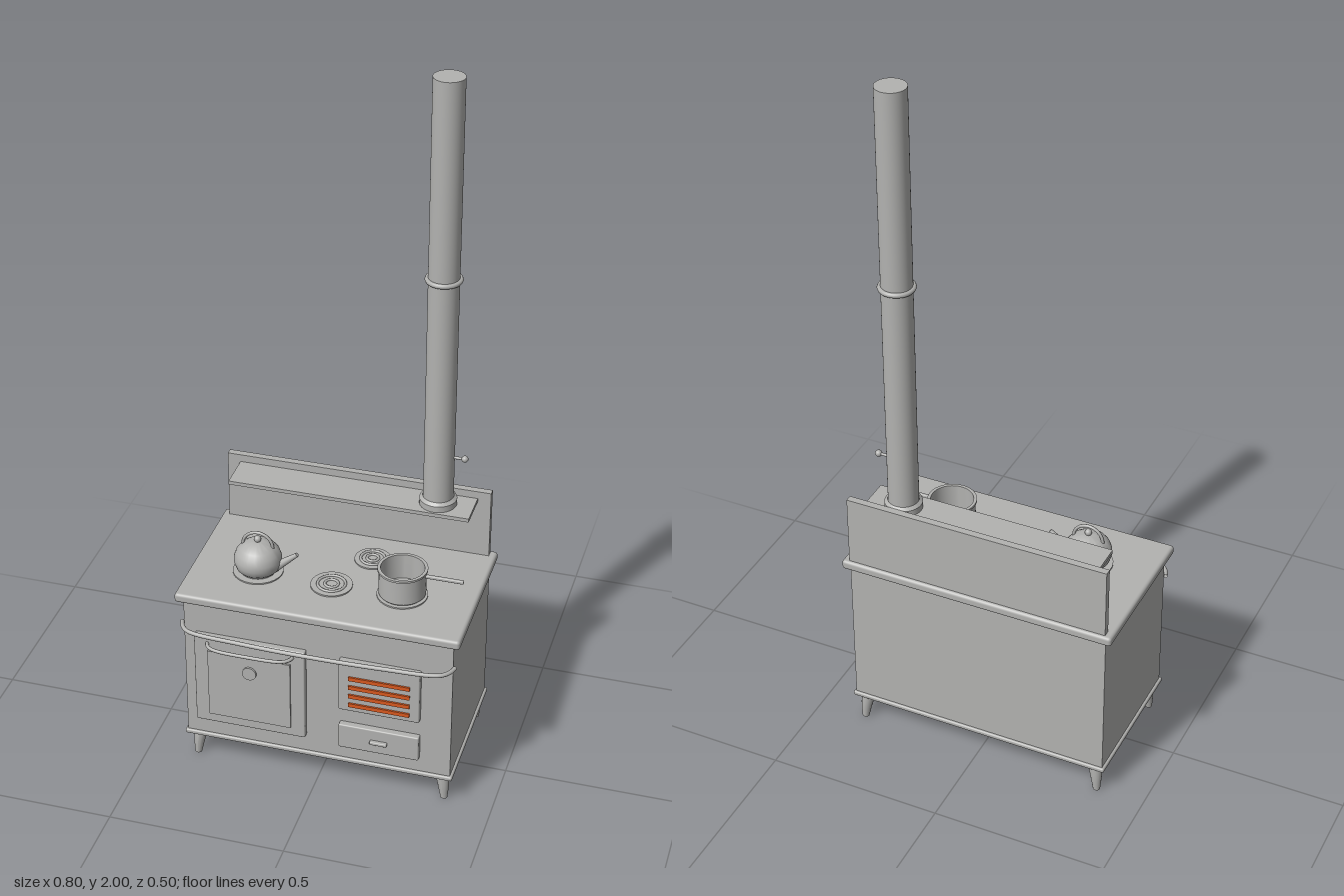
import * as THREE from 'three';
import { RoundedBoxGeometry } from 'three/addons/geometries/RoundedBoxGeometry.js';
import { toCreasedNormals } from 'three/addons/utils/BufferGeometryUtils.js';

const iron = new THREE.MeshStandardMaterial({ color: 0xb2b2b0, side: THREE.DoubleSide });
iron.name = 'castIron';
const ember = new THREE.MeshStandardMaterial({ color: 0xd9591f });
ember.name = 'emberOrange';

export function createModel() {
  const root = new THREE.Group();
  root.name = 'kitchenStove';

  const add = (name, geo, x = 0, y = 0, z = 0, mat = iron, parent = root) => {
    const mesh = new THREE.Mesh(geo, mat);
    mesh.name = name;
    mesh.position.set(x, y, z);
    parent.add(mesh);
    return mesh;
  };
  // Box given by its limits on each axis
  const box = (name, x0, x1, y0, y1, z0, z1, r = 0, mat = iron) => {
    const s = [x1 - x0, y1 - y0, z1 - z0];
    const geo = r ? new RoundedBoxGeometry(...s, 3, r) : new THREE.BoxGeometry(...s);
    return add(name, geo, (x0 + x1) / 2, (y0 + y1) / 2, (z0 + z1) / 2, mat);
  };
  const lathe = (pts, seg = 40) => toCreasedNormals(
    new THREE.LatheGeometry(pts.map(p => new THREE.Vector2(...p)), seg), 0.6);
  const tube = (pts, r, seg = 48) => new THREE.TubeGeometry(
    new THREE.CatmullRomCurve3(pts.map(p => new THREE.Vector3(...p)), false, 'centripetal'), seg, r, 10);
  const ring = (name, R, r, x, y, z) =>
    add(name, new THREE.TorusGeometry(R, r, 8, 40).rotateX(Math.PI / 2), x, y, z);

  // Cabinet
  box('body', -0.38, 0.38, 0.085, 0.545, -0.235, 0.18);
  box('baseTrim', -0.387, 0.387, 0.08, 0.094, -0.242, 0.187, 0.005);
  box('cooktop', -0.4, 0.4, 0.537, 0.565, -0.25, 0.2, 0.009);
  box('backPanel', -0.38, 0.38, 0.56, 0.77, -0.24, -0.22);
  box('warmingShelf', -0.343, 0.343, 0.737, 0.748, -0.22, -0.113);

  // Curved tapering legs
  for (const sx of [-1, 1]) for (const front of [true, false]) {
    const sz = front ? 1 : -1;
    const geo = new THREE.CylinderGeometry(0.022, 0.01, 0.085, 16, 10);
    const p = geo.attributes.position;
    for (let i = 0; i < p.count; i++) {
      const t = 0.5 - p.getY(i) / 0.085;
      const shift = 0.01 * t * t + 0.004 * Math.sin(Math.PI * t);
      p.setX(i, p.getX(i) + sx * shift);
      p.setZ(i, p.getZ(i) + sz * shift);
    }
    geo.computeVertexNormals();
    add('leg', geo, sx * 0.35, 0.0425, front ? 0.147 : -0.212);
  }

  // Bowed towel rail across the front
  add('frontRail', tube([[-0.385, 0.465, 0.18], [-0.376, 0.465, 0.203], [-0.352, 0.465, 0.224],
    [-0.2, 0.465, 0.238], [0, 0.465, 0.243], [0.2, 0.465, 0.238],
    [0.352, 0.465, 0.224], [0.376, 0.465, 0.203], [0.385, 0.465, 0.18]], 0.006, 80));

  // Oven door
  box('ovenDoor', -0.347, -0.03, 0.15, 0.44, 0.178, 0.199, 0.004);
  box('ovenDoorPanel', -0.307, -0.07, 0.18, 0.395, 0.195, 0.204);
  add('ovenGauge', new THREE.CylinderGeometry(0.02, 0.02, 0.008, 28).rotateX(Math.PI / 2), -0.186, 0.345, 0.206);
  add('ovenHandle', tube([[-0.31, 0.418, 0.192], [-0.303, 0.418, 0.212], [-0.283, 0.418, 0.225],
    [-0.186, 0.418, 0.231], [-0.09, 0.418, 0.225], [-0.07, 0.418, 0.212], [-0.062, 0.418, 0.192]], 0.005));

  // Firebox door with glowing slots
  box('fireDoor', 0.066, 0.294, 0.272, 0.437, 0.178, 0.199, 0.004);
  for (let i = 0; i < 4; i++) {
    const y = 0.384 - i * 0.0295;
    box('emberSlot', 0.095, 0.267, y - 0.006, y + 0.006, 0.196, 0.204, 0, ember);
  }

  // Ash drawer
  box('ashDrawer', 0.066, 0.294, 0.142, 0.22, 0.178, 0.199, 0.004);
  box('ashDrawerPull', 0.157, 0.206, 0.176, 0.186, 0.196, 0.21, 0.003);

  // Hot plates
  const burner = (x, z, r) => {
    add('burnerPlate', new THREE.CylinderGeometry(r, r, 0.006, 40), x, 0.566, z);
    for (const k of [0.66, 0.32]) ring('burnerRing', r * k, 0.004, x, 0.57, z);
  };
  burner(0, 0.038, 0.058);
  burner(0.075, -0.113, 0.051);
  burner(-0.214, 0.027, 0.07);
  burner(0.197, 0.027, 0.07);

  // Stove pipe with collars and damper
  const px = 0.243, pz = -0.171;
  add('stovePipe', new THREE.CylinderGeometry(0.042, 0.042, 1.255, 40), px, 1.3725, pz);
  add('pipeCollar', lathe([[0.04, 0], [0.052, 0], [0.052, 0.018], [0.043, 0.026]]), px, 0.748, pz);
  ring('pipeJoint', 0.044, 0.007, px, 1.437, pz);
  add('damperRod', new THREE.CylinderGeometry(0.004, 0.004, 0.035, 10).rotateZ(Math.PI / 2), px + 0.053, 0.9, pz);
  add('damperKnob', new THREE.SphereGeometry(0.0095, 16, 12), px + 0.071, 0.9, pz);

  // Kettle
  const kettle = new THREE.Group();
  kettle.name = 'kettle';
  kettle.position.set(-0.214, 0.569, 0.027);
  root.add(kettle);
  const part = (name, geo, x = 0, y = 0, z = 0) => add(name, geo, x, y, z, iron, kettle);
  part('kettleBody', lathe([[0, 0.002], [0.05, 0.002], [0.06, 0.012], [0.066, 0.03], [0.066, 0.045],
    [0.06, 0.062], [0.049, 0.076], [0.035, 0.086], [0.018, 0.092], [0, 0.094]]));
  part('kettleLidKnob', new THREE.SphereGeometry(0.01, 16, 12), 0, 0.1, 0);
  part('kettleHandle', new THREE.TorusGeometry(0.043, 0.0045, 8, 32, Math.PI), 0, 0.077, 0);
  const spout = new THREE.CylinderGeometry(0.006, 0.014, 0.085, 16);
  spout.rotateZ(-0.88);
  part('kettleSpout', spout, 0.08, 0.042, 0);

  // Saucepan
  add('saucepan', lathe([[0, 0], [0.06, 0], [0.065, 0.005], [0.065, 0.076], [0.069, 0.078], [0.069, 0.084],
    [0.06, 0.084], [0.06, 0.008], [0, 0.008]]), 0.197, 0.57, 0.027);
  box('saucepanHandle', 0.258, 0.367, 0.632, 0.642, 0.022, 0.032, 0.003);

  return root;
}
